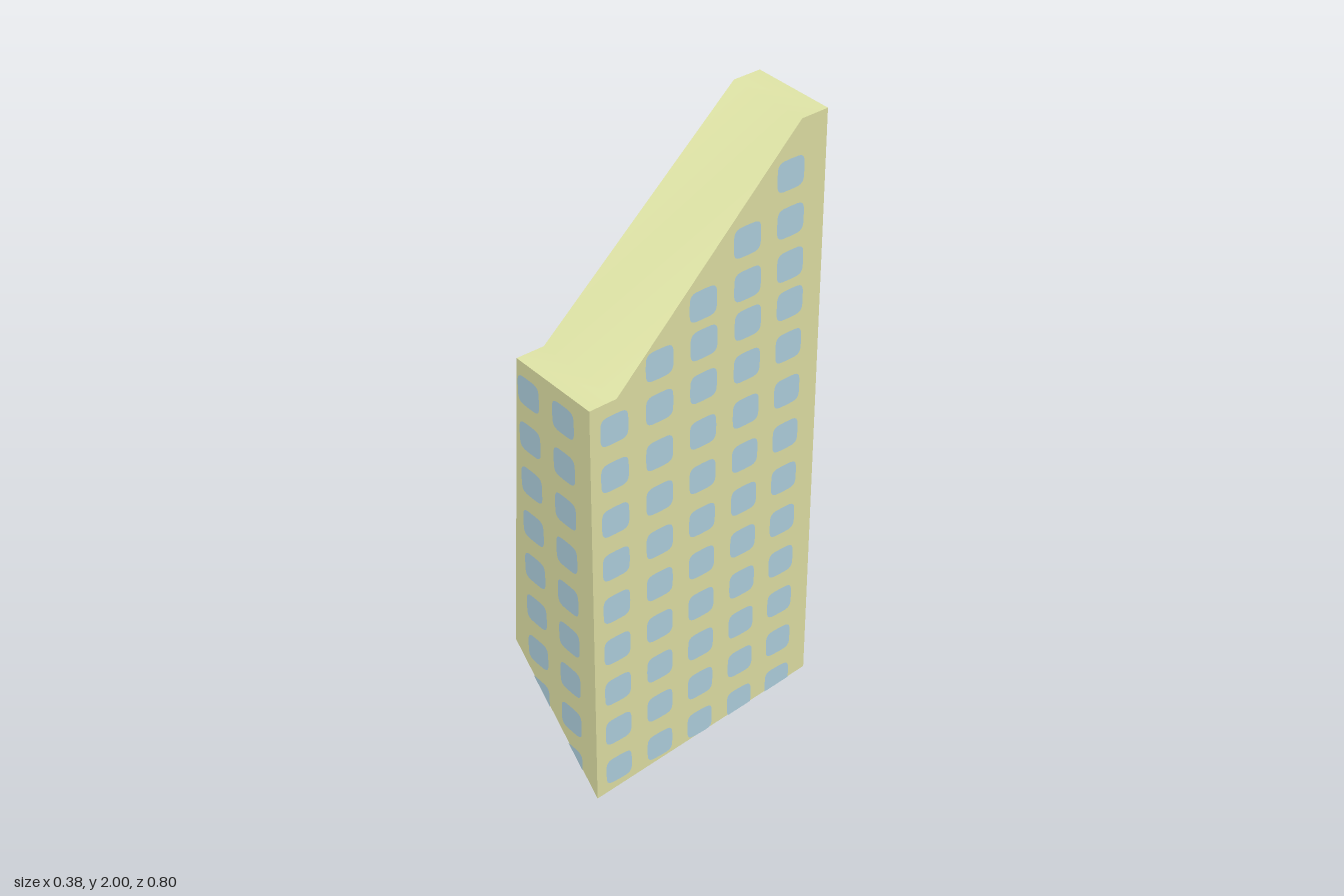
import * as THREE from 'three';

const material = (name, hex) => new THREE.MeshStandardMaterial({ name, color: hex });

// Flat polygon as a triangle fan from its first corner (anticlockwise from outside)
function fan(points, out = []) {
  for (let i = 1; i < points.length - 1; i++) out.push(...points[0], ...points[i], ...points[i + 1]);
  return out;
}

function meshFrom(name, positions, mat) {
  const g = new THREE.BufferGeometry();
  g.setAttribute('position', new THREE.Float32BufferAttribute(positions, 3));
  g.computeVertexNormals();
  const mesh = new THREE.Mesh(g, mat);
  mesh.name = name;
  return mesh;
}

// Trim a polygon to a convex anticlockwise outline
function clip(poly, outline) {
  outline.forEach((a, k) => {
    const b = outline[(k + 1) % outline.length];
    const side = p => (b[0] - a[0]) * (p[1] - a[1]) - (b[1] - a[1]) * (p[0] - a[0]);
    const kept = [];
    poly.forEach((p, i) => {
      const q = poly[(i + 1) % poly.length], sp = side(p), sq = side(q);
      if (sp >= 0) kept.push(p);
      if (sp * sq < 0) {
        const t = sp / (sp - sq);
        kept.push([p[0] + (q[0] - p[0]) * t, p[1] + (q[1] - p[1]) * t]);
      }
    });
    poly = kept;
  });
  return poly;
}

// Rounded square window outline
function windowShape(cu, cv, half = 0.047) {
  const pts = [];
  for (let i = 0; i < 24; i++) {
    const a = (i / 24) * Math.PI * 2, c = Math.cos(a), s = Math.sin(a);
    pts.push([cu + half * Math.sign(c) * Math.abs(c) ** 0.45, cv + half * Math.sign(s) * Math.abs(s) ** 0.45]);
  }
  return pts;
}

export function createModel() {
  const group = new THREE.Group();
  const wall = material('pale khaki wall', 0xe2e3a7);
  const roofMat = material('pale roof', 0xe4e9aa);
  const olive = material('olive yellow', 0xdada00);
  const glass = material('blue window', 0xb1d3e1);

  const R = 0.19;
  // The left side leans inward as it rises
  const leftX = (y, z) => -0.188 + 0.0612 * (y - 0.36) + 0.0095 * (0.4 - z);
  // Side profile as [z, y], from the back bottom corner round to the back top
  const top = [[0.4, 1.39], [0.31, 1.39], [-0.31, 2], [-0.4, 2]];
  const rightPts = [[-0.4, 0.065], [0.4, 0], ...top].map(([z, y]) => [R, y, z]);
  const leftPts = [[-0.4, 0.405], [0.4, 0.36], ...top].map(([z, y]) => [leftX(y, z), y, z]);

  // Walls
  const frontFace = [leftPts[1], rightPts[1], rightPts[2], leftPts[2]];
  const backFace = [rightPts[0], leftPts[0], leftPts[5], rightPts[5]];
  group.add(meshFrom('frontWall', fan(frontFace), wall));
  group.add(meshFrom('backWall', fan(backFace), wall));
  group.add(meshFrom('rightWall', fan([rightPts[0], ...rightPts.slice(1).reverse()]), wall));
  group.add(meshFrom('leftWall', fan(leftPts), olive));
  group.add(meshFrom('underside', fan([leftPts[0], rightPts[0], rightPts[1], leftPts[1]]), olive));

  // Roof: two ledges and a slope sharing smooth normals
  const roofPos = [], index = [];
  for (let i = 2; i < 6; i++) {
    roofPos.push(...leftPts[i], ...rightPts[i]);
    const k = (i - 2) * 2;
    if (i < 5) index.push(k, k + 1, k + 3, k, k + 3, k + 2);
  }
  const roofGeo = new THREE.BufferGeometry();
  roofGeo.setAttribute('position', new THREE.Float32BufferAttribute(roofPos, 3));
  roofGeo.setIndex(index);
  roofGeo.computeVertexNormals();
  const roof = new THREE.Mesh(roofGeo, roofMat);
  roof.name = 'roof';
  group.add(roof);

  // Windows: a grid on each wall, trimmed to its outline
  const e = 0.002;
  const lowerRows = Array.from({ length: 9 }, (_, r) => 0.08 + 0.1525 * r);
  const sideUpperRows = [1.44, 1.565, 1.703, 1.848];
  const backUpperRows = [1.447, 1.59, 1.735, 1.882];
  const sideCols = [-0.32, -0.167, -0.015, 0.138, 0.288];
  const grid = (cols, rows) => cols.flatMap(u => rows.map(v => [u, v]));
  const sides = [
    {
      name: 'frontWindows', cells: grid([-0.075, 0.077], lowerRows),
      outline: frontFace.map(p => [p[0], p[1]]), place: (u, v) => [u, v, 0.4 + e],
    },
    {
      name: 'backWindows', cells: grid([-0.06, 0.09], [...lowerRows, ...backUpperRows]),
      outline: backFace.map(p => [-p[0], p[1]]), place: (u, v) => [-u, v, -0.4 - e],
    },
    {
      name: 'rightWindows',
      cells: [...grid(sideCols, lowerRows),
        ...sideUpperRows.flatMap((v, i) => sideCols.slice(i + 1).map(u => [u - 0.004 * i, v]))],
      outline: [[-0.4, 0], [0.4, 0.065], [0.4, 2], [0.31, 2], [-0.4, 1.33]],
      place: (u, v) => [R + e, v, -u],
    },
  ];
  for (const { name, cells, outline, place } of sides) {
    const pos = [];
    for (const [u, v] of cells) {
      const poly = clip(windowShape(u, v), outline);
      if (poly.length > 2) fan(poly.map(p => place(p[0], p[1])), pos);
    }
    group.add(meshFrom(name, pos, glass));
  }
  return group;
}
